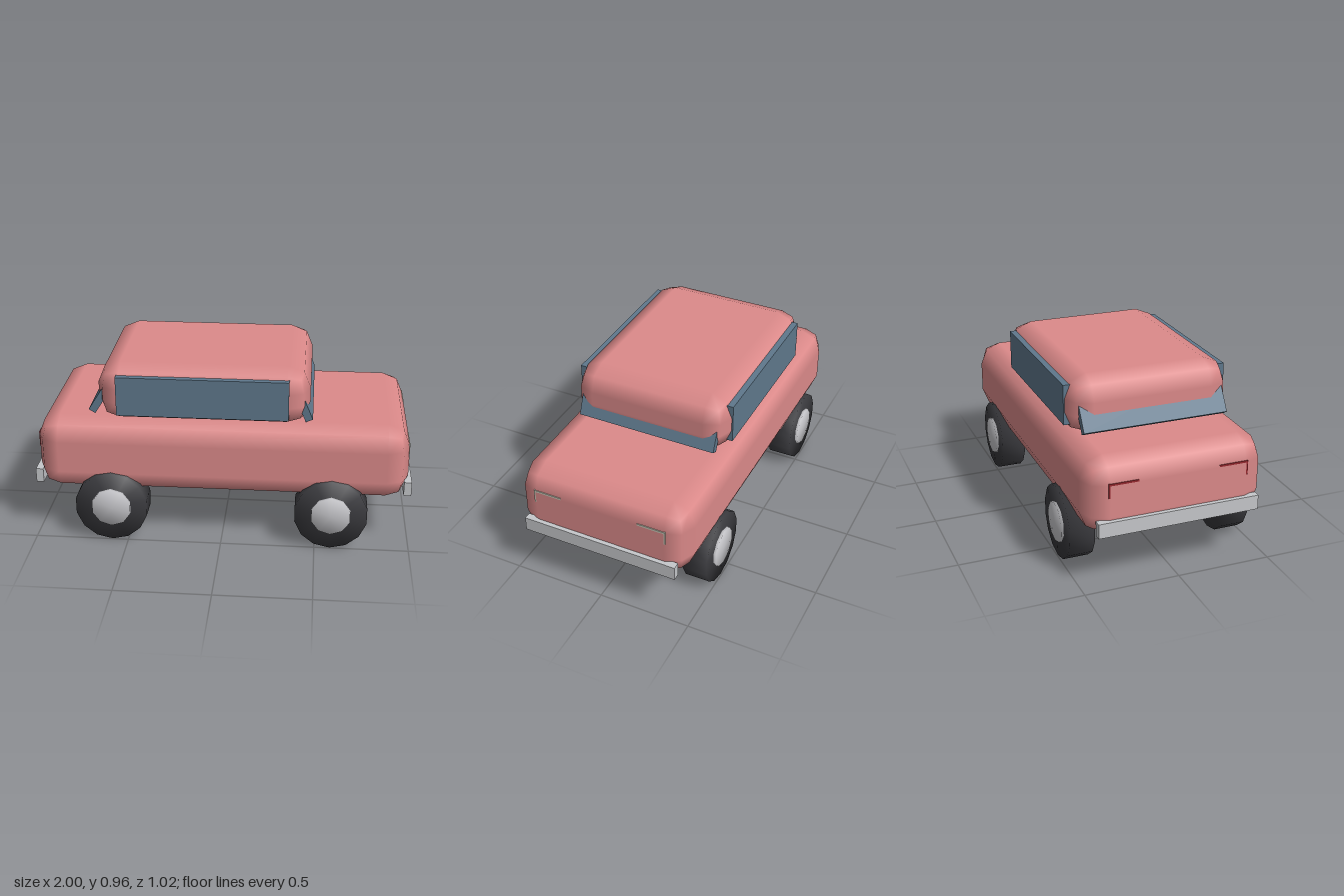
import * as THREE from 'three';
import { mergeVertices } from 'three/addons/utils/BufferGeometryUtils.js';
import { RoundedBoxGeometry } from 'three/addons/geometries/RoundedBoxGeometry.js';

const material = (name, color) => {
  const m = new THREE.MeshStandardMaterial({ color });
  m.name = name;
  return m;
};

// Cylinder along z with normals blended over the rims
function softDisc(radius, depth, sides) {
  const g = new THREE.CylinderGeometry(radius, radius, depth, sides).rotateX(Math.PI / 2);
  g.deleteAttribute('normal');
  g.deleteAttribute('uv');
  const merged = mergeVertices(g);
  merged.computeVertexNormals();
  return merged;
}

export function createModel() {
  const car = new THREE.Group();
  car.name = 'car';

  const paint = material('pink paint', 0xdc8a8a);
  const glass = material('blue glass', 0x5f788c);
  const rubber = material('dark rubber', 0x3a3a3e);
  const hub = material('hub silver', 0xcacace);
  const chrome = material('bumper grey', 0xc6c8cb);
  const headlight = material('headlight cream', 0xcac8b8);
  const taillight = material('taillight red', 0x96282e);

  const add = (name, geometry, mat, x, y, z, parent = car) => {
    const mesh = new THREE.Mesh(geometry, mat);
    mesh.name = name;
    mesh.position.set(x, y, z);
    parent.add(mesh);
    return mesh;
  };
  const box = (w, h, d) => new THREE.BoxGeometry(w, h, d);

  // Body and cabin with coarse rounded edges
  add('body', new RoundedBoxGeometry(1.965, 0.408, 0.957, 1, 0.12), paint, 0, 0.4685, 0);
  add('cabin', new RoundedBoxGeometry(1.114, 0.314, 0.873, 1, 0.12), paint, -0.1, 0.8065, 0);

  // Side windows
  for (const s of [1, -1]) {
    add('sideWindow', box(0.895, 0.212, 0.04), glass, -0.1, 0.81, s * 0.419);
  }

  // Tilted end windows, placed by the middle of their lower edge
  const endWindow = (name, x, y, tilt, length) => {
    const geometry = box(0.04, length, 0.775).translate(0, length / 2, 0);
    add(name, geometry, glass, x, y, 0).rotation.z = tilt;
  };
  endWindow('windshield', 0.454, 0.688, 0.4, 0.22);
  endWindow('rearWindow', -0.685, 0.702, -0.56, 0.24);

  // Bumpers and lamps at both ends
  for (const end of [1, -1]) {
    add('bumper', box(0.04, 0.077, 0.854), chrome, end * 0.98, 0.332, 0);
    for (const s of [1, -1]) {
      add(end > 0 ? 'headlight' : 'taillight', box(0.03, 0.076, 0.155),
        end > 0 ? headlight : taillight, end * 0.967, 0.526, s * 0.291);
    }
  }

  // Wheels with hubcaps
  const tyreGeometry = softDisc(0.195, 0.135, 14);
  const hubGeometry = softDisc(0.107, 0.04, 10);
  for (const x of [0.582, -0.585]) {
    for (const s of [1, -1]) {
      const wheel = new THREE.Group();
      wheel.name = 'wheel';
      wheel.position.set(x, 0.195, s * 0.428);
      add('tyre', tyreGeometry, rubber, 0, 0, 0, wheel);
      add('hubcap', hubGeometry, hub, 0, 0, s * 0.061, wheel);
      car.add(wheel);
    }
  }

  return car;
}
